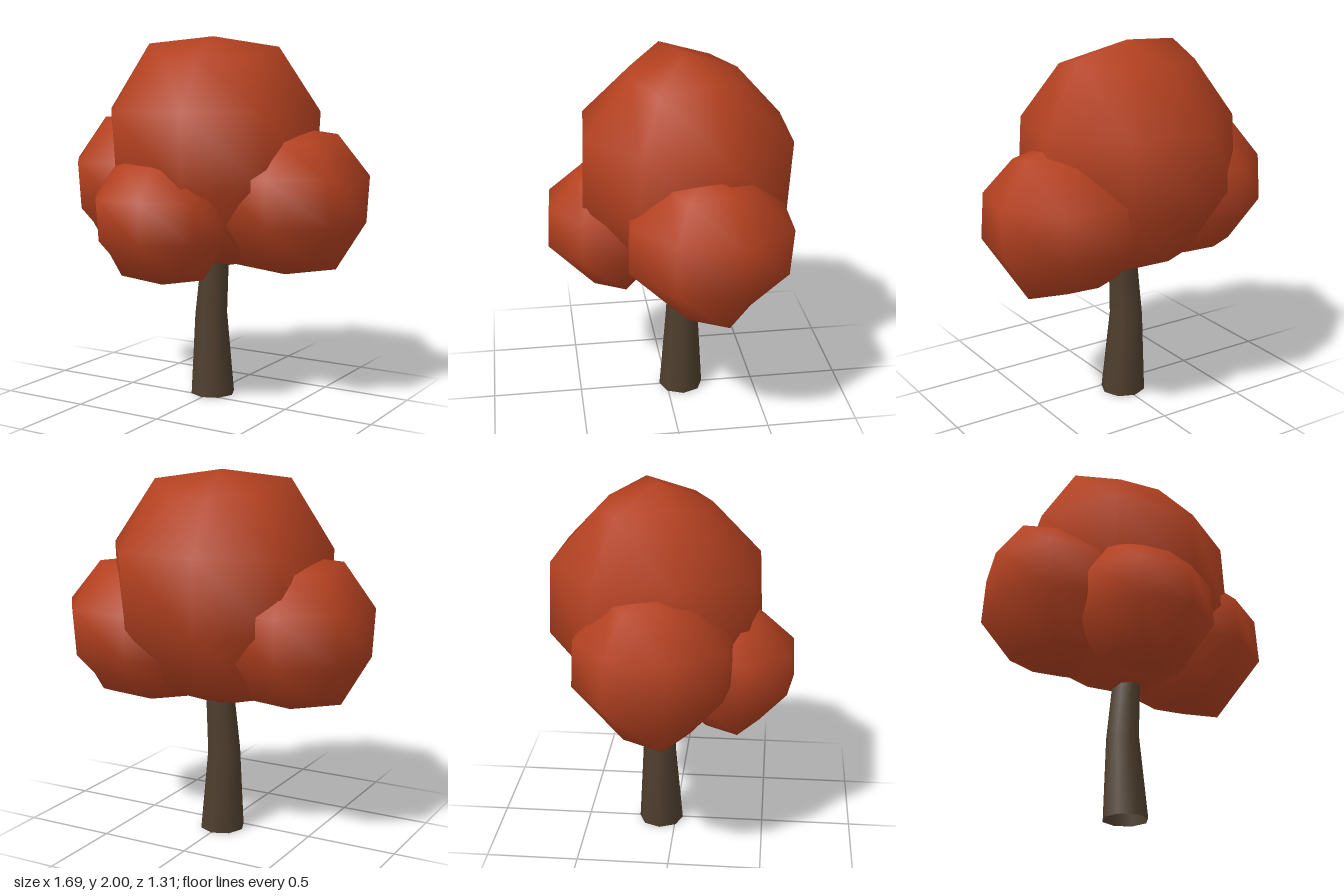
import * as THREE from 'three';
import { mergeVertices } from 'three/addons/utils/BufferGeometryUtils.js';

// Weld a geometry along its seams and give it smooth normals
function smooth(geometry) {
  geometry.deleteAttribute('uv');
  geometry.deleteAttribute('normal');
  const welded = mergeVertices(geometry, 1e-4);
  welded.computeVertexNormals();
  return welded;
}

// Eight-sided, five-row leaf clump: widest above the middle, cap rings bulging at both ends
function clumpGeometry() {
  const geo = new THREE.SphereGeometry(1, 8, 5);
  const p = geo.attributes.position;
  for (let i = 0; i < p.count; i++) {
    const y = p.getY(i);
    if (Math.abs(y) > 0.99) {
      p.setXYZ(i, 0, Math.sign(y), 0);
      continue;
    }
    const a = Math.atan2(p.getZ(i), p.getX(i)) + THREE.MathUtils.degToRad(30.6);
    const bulge = 0.05 * Math.cos(2 * (a + 0.25)) + 0.025 * Math.cos(4 * (a + 0.25));
    let r = 0.335 + 0.04 * Math.cos(2 * a);
    let h = y + 0.065;
    if (y > 0.6) h = 0.85 + bulge - 0.015 * Math.cos(a);
    else if (y < -0.6) h = -0.82 - bulge;
    else if (y > 0) r = 0.583 + 0.029 * Math.cos(2 * (a + 0.7));
    else r = 0.582;
    p.setXYZ(i, r * Math.cos(a), h, r * Math.sin(a));
  }
  return smooth(geo);
}

// Open, tapering, slightly bent trunk; each level is [y, centre x, centre z, radius]
function trunkGeometry() {
  const levels = [
    [0.004, -0.005, -0.083, 0.124],
    [0.46, -0.02, -0.09, 0.092],
    [0.74, 0, -0.093, 0.081],
    [1.05, 0.02, -0.093, 0.07],
  ];
  const geo = new THREE.CylinderGeometry(1, 1, 3, 8, 3, true);
  const p = geo.attributes.position;
  for (let i = 0; i < p.count; i++) {
    const [y, cx, cz, r] = levels[Math.round(p.getY(i) + 1.5)];
    p.setXYZ(i, cx + r * p.getX(i), y, cz + r * p.getZ(i));
  }
  return smooth(geo);
}

export function createModel() {
  const tree = new THREE.Group();
  tree.name = 'tree';

  const foliage = new THREE.MeshStandardMaterial({ color: 0xb44120 });
  foliage.name = 'rust foliage';
  const bark = new THREE.MeshStandardMaterial({ color: 0x4e3e2d, side: THREE.DoubleSide });
  bark.name = 'brown bark';

  const trunk = new THREE.Mesh(trunkGeometry(), bark);
  trunk.name = 'trunk';
  tree.add(trunk);

  // Leaf clumps: name, centre, width scale, half height
  const clump = clumpGeometry();
  const clumps = [
    ['mainCrown', [-0.015, 1.36, -0.1], 1, 0.64],
    ['leftClump', [0.405, 1.115, -0.165], 0.76, 0.405],
    ['rightClump', [-0.415, 1.157, -0.077], 0.735, 0.415],
    ['frontClump', [-0.095, 1.027, 0.297], 0.625, 0.348],
  ];
  for (const [name, centre, width, halfHeight] of clumps) {
    const mesh = new THREE.Mesh(clump, foliage);
    mesh.name = name;
    mesh.position.set(...centre);
    mesh.scale.set(width, halfHeight, width);
    tree.add(mesh);
  }
  return tree;
}
